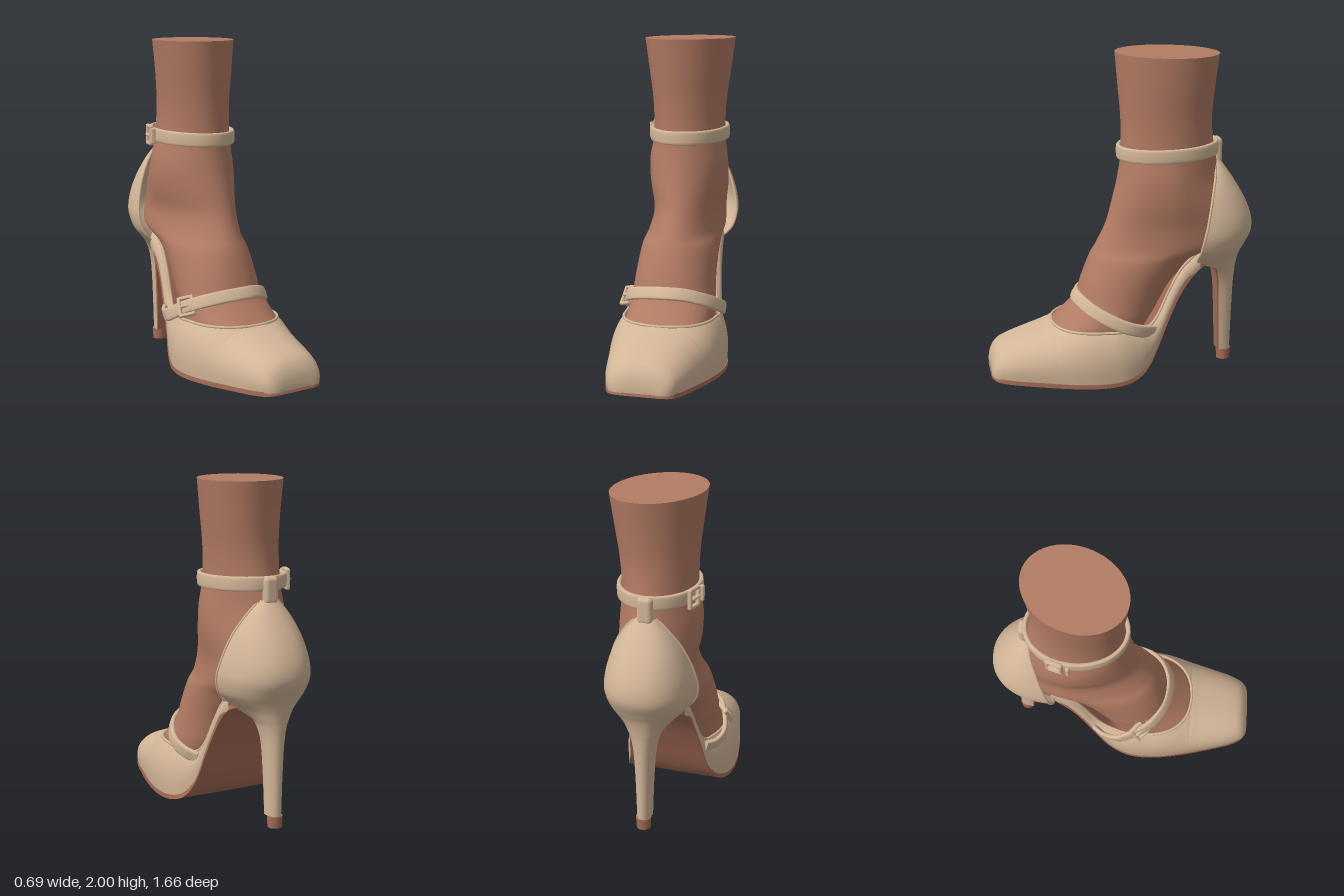
import * as THREE from 'three';
import { mergeGeometries, mergeVertices, toCreasedNormals } from 'three/addons/utils/BufferGeometryUtils.js';
import { RoundedBoxGeometry } from 'three/addons/geometries/RoundedBoxGeometry.js';

const V = (x, y, z) => new THREE.Vector3(x, y, z);
const mat = (name, color, side = THREE.DoubleSide) => {
  const m = new THREE.MeshStandardMaterial({ color, side });
  m.name = name;
  return m;
};

// Smoothly resample a table of numeric rows
function smoothRows(rows, steps) {
  const out = [], last = rows.length - 1;
  for (let i = 0; i < last; i++) {
    const [a, b, c, d] = [rows[Math.max(i - 1, 0)], rows[i], rows[i + 1], rows[Math.min(i + 2, last)]];
    for (let s = 0; s < steps; s++) {
      const t = s / steps;
      out.push(b.map((p, k) => p + 0.5 * t * (c[k] - a[k] + t * (2 * a[k] - 5 * p + 4 * c[k] - d[k]
        + t * (3 * (p - c[k]) + d[k] - a[k])))));
    }
  }
  out.push(rows[last]);
  return out;
}

// Skin a list of cross-sections; rings may be closed, ends may be capped
function loft(rings, { closed = false, caps = false, flip = false, wrap = false } = {}) {
  const n = rings[0].length, pos = [], idx = [];
  const tri = (a, b, c) => (flip ? idx.push(a, c, b) : idx.push(a, b, c));
  rings.forEach(r => r.forEach(p => pos.push(p.x, p.y, p.z)));
  const R = rings.length;
  for (let r = 0; r < (wrap ? R : R - 1); r++) {
    for (let c = 0; c < (closed ? n : n - 1); c++) {
      const a = r * n + c, b = r * n + (c + 1) % n, q = ((r + 1) % R) * n;
      tri(a, b, q + c);
      tri(b, q + (c + 1) % n, q + c);
    }
  }
  if (caps) [rings[0], rings[R - 1]].forEach((ring, end) => {
    const base = pos.length / 3;
    const mid = ring.reduce((s, p) => s.add(p), V(0, 0, 0)).divideScalar(n);
    [...ring, mid].forEach(p => pos.push(p.x, p.y, p.z));
    for (let c = 0; c < n; c++) {
      const a = base + c, b = base + (c + 1) % n;
      end ? tri(base + n, a, b) : tri(base + n, b, a);
    }
  });
  const g = new THREE.BufferGeometry();
  g.setAttribute('position', new THREE.Float32BufferAttribute(pos, 3));
  g.setIndex(idx);
  g.computeVertexNormals();
  return g;
}

const sgnPow = (v, e) => Math.sign(v) * Math.abs(v) ** e;

// Flat strap with rounded edges swept along a curve
function strap(points, closed, height, thick, up) {
  const curve = new THREE.CatmullRomCurve3(points, closed), N = 72, rings = [];
  for (let i = 0; i < (closed ? N : N + 1); i++) {
    const p = curve.getPoint(i / N), t = curve.getTangent(i / N);
    const out = t.clone().cross(up).normalize(), u = out.clone().cross(t).normalize();
    rings.push(Array.from({ length: 16 }, (_, k) => {
      const a = k / 16 * Math.PI * 2;
      return p.clone().addScaledVector(out, sgnPow(Math.cos(a), 0.55) * thick / 2)
        .addScaledVector(u, sgnPow(Math.sin(a), 0.55) * height / 2);
    }));
  }
  return loft(rings, { closed: true, wrap: closed, caps: !closed });
}

// Rectangular buckle facing +z
function buckle(name, material) {
  const g = new THREE.Group();
  g.name = name;
  const bar = (w, h, x, y, z = 0) => {
    const m = new THREE.Mesh(new RoundedBoxGeometry(w, h, 0.028, 2, 0.009), material);
    m.name = 'buckleBar';
    m.position.set(x, y, z);
    g.add(m);
  };
  for (const s of [-1, 1]) {
    bar(0.022, 0.125, s * 0.042, 0);
    bar(0.1, 0.022, 0, s * 0.053);
  }
  bar(0.08, 0.018, 0.005, 0, 0.008);
  bar(0.024, 0.1, 0.085, 0);
  return g;
}

export function createModel() {
  const group = new THREE.Group();
  const leather = mat('beige leather', 0xd3b698);
  const skin = mat('skin', 0xb27b63, THREE.FrontSide);
  const soleMat = mat('brown sole', 0xa56c56);
  const add = (name, geo, m) => {
    const mesh = new THREE.Mesh(geo, m);
    mesh.name = name;
    group.add(mesh);
    return mesh;
  };

  // Leg and foot: y, front z, back z, right x, left x, roundness, heel taper, skew
  const legRows = [
    [2, .03, -.58, -.245, .275, 2, 0, -.048], [1.8, .015, -.56, -.222, .253, 2, 0, -.035],
    [1.6, 0, -.55, -.205, .23, 2, 0, -.02], [1.4, 0, -.575, -.21, .23, 2, .1, -.008],
    [1.25, .02, -.62, -.24, .25, 2, .25, 0], [1.1, .055, -.7, -.235, .25, 2, .28, 0],
    [.95, .1, -.76, -.205, .23, 2, .2, 0], [.82, .16, -.73, -.225, .23, 2, .1, 0],
    [.74, .2, -.5, -.24, .235, 2.1, .1, 0], [.6, .25, -.33, -.25, .24, 2.2, .1, 0],
    [.48, .29, -.25, -.258, .25, 2.2, .1, 0], [.4, .36, -.2, -.258, .262, 2.3, .05, 0],
    [.315, .445, -.14, -.262, .265, 2.5, 0, 0], [.22, .52, -.1, -.25, .25, 2.5, 0, 0],
    [.12, .55, -.03, -.24, .24, 2.5, 0, 0]];
  const legRings = smoothRows(legRows, 5).map(([y, zf, zb, xl, xr, n, taper, skew]) =>
    Array.from({ length: 48 }, (_, k) => {
      const a = k / 48 * Math.PI * 2, s = sgnPow(Math.sin(a), 2 / n), c = sgnPow(Math.cos(a), 2 / n);
      return V((xl + xr) / 2 + (xr - xl) / 2 * c * (1 + taper * Math.min(0, s)) + skew * s, y,
        (zf + zb) / 2 + (zf - zb) / 2 * s);
    }));
  add('legAndFoot', loft(legRings, { closed: true, caps: true }), skin);

  // Toe box and side bands: z, half width, top edge y, bottom y
  const vampRows = [
    [.829, .1, .052, .05], [.829, .135, .09, .05], [.821, .168, .142, .05], [.8, .198, .188, .049],
    [.765, .22, .224, .048], [.7, .247, .252, .046], [.6, .275, .285, .043],
    [.5, .3, .316, .039], [.44, .315, .337, .036], [.4, .325, .337, .034], [.32, .343, .337, .031],
    [.2, .358, .337, .028], [.05, .352, .337, .033], [-.06, .318, .337, .066], [-.14, .28, .35, .145],
    [-.2, .252, .42, .25], [-.27, .23, .56, .42], [-.35, .212, .69, .565], [-.46, .2, .79, .685]];
  const n = 2.5, rim = [], half = [];
  for (const [z, w, top, base] of smoothRows(vampRows, 6)) {
    const open = z >= .4399 ? 0 : z > .1 ? .282 * (1 - ((z - .1) / .34) ** 2.6) ** .45 : w * .81;
    const end = Math.acos((open / w) ** (n / 2));
    const h = (top - base) / Math.sin(end) ** (2 / n);
    const row = Array.from({ length: 19 }, (_, k) => {
      const a = end * k / 18, tuck = 1 - .05 * (1 - Math.sin(a)) ** 4;
      return V(k === 18 ? open : w * tuck * Math.cos(a) ** (2 / n), base + h * Math.sin(a) ** (2 / n), z);
    });
    half.push(row);
    if (z < .4401) rim.push(row[18]);
  }
  const mirror = p => V(-p.x, p.y, p.z);
  const vamp = mergeGeometries([loft(half, { flip: true }), loft(half.map(r => r.map(mirror)))]);
  vamp.deleteAttribute('normal');
  const vampGeo = mergeVertices(vamp, 1e-4);
  vampGeo.computeVertexNormals();
  add('toeBoxAndSides', vampGeo, leather);
  const rimPath = [...rim.slice(1).reverse().map(mirror), ...rim];
  add('openingRim', new THREE.TubeGeometry(new THREE.CatmullRomCurve3(rimPath), 160, .009, 8), leather);

  // Heel counter flowing into the heel stem: y, front z, back z, half width
  const heelRows = [
    [1.33, -.575, -.615, .055], [1.25, -.56, -.672, .13], [1.15, -.53, -.737, .195], [1.05, -.505, -.79, .237],
    [.96, -.483, -.819, .262], [.88, -.462, -.818, .272], [.8, -.446, -.78, .256], [.75, -.437, -.756, .222],
    [.7, -.465, -.742, .168], [.65, -.575, -.733, .113], [.6, -.6, -.727, .086], [.5, -.614, -.721, .065],
    [.3, -.621, -.715, .053], [.07, -.628, -.71, .046]];
  const heelRings = smoothRows(heelRows, 5).map(([y, zf, zb, w]) => Array.from({ length: 29 }, (_, k) => {
    const a = -Math.PI * k / 28;
    return V(w * sgnPow(Math.cos(a), .9), y, zf + (zf - zb) * sgnPow(Math.sin(a), .95));
  }));
  add('heelCounterAndStem', loft(heelRings, { flip: true }), leather);
  for (const end of [0, 28]) {
    const edge = heelRings.slice(0, 38).map(r => r[end]);
    add('counterEdge', new THREE.TubeGeometry(new THREE.CatmullRomCurve3(edge), 50, .008, 8), leather);
  }

  // Sole running under the toe, up the arch and down the heel breast: z, y, half width
  const soleRows = [
    [.833, .036, .1], [.824, .034, .15], [.8, .03, .188], [.765, .027, .212], [.7, .023, .238], [.6, .018, .266],
    [.4, .008, .315], [.2, .002, .345], [.05, .008, .34], [-.05, .033, .31], [-.12, .088, .28], [-.18, .19, .252],
    [-.25, .355, .23], [-.33, .52, .21], [-.42, .645, .196], [-.5, .693, .165], [-.553, .677, .118],
    [-.591, .61, .084], [-.606, .5, .061], [-.613, .3, .049], [-.621, .07, .043]];
  const path = smoothRows(soleRows, 4);
  const soleRings = path.map(([z, y, w], i) => {
    const p = path[Math.max(i - 1, 0)], q = path[Math.min(i + 1, path.length - 1)];
    const d = Math.hypot(q[0] - p[0], q[1] - p[1]), t = .027;
    const nz = (q[1] - p[1]) / d * t, ny = -(q[0] - p[0]) / d * t;
    return [V(w, y, z), V(-w, y, z), V(-w, y + ny, z + nz), V(w, y + ny, z + nz)];
  });
  add('sole', toCreasedNormals(loft(soleRings, { closed: true, caps: true }), .6), soleMat);

  // Heel tip
  const tip = add('heelTip', new THREE.CylinderGeometry(.046, .042, .07, 24), soleMat);
  tip.position.set(0, .035, -.67);

  // Ankle strap, back loop and buckle
  const ring = Array.from({ length: 24 }, (_, k) => {
    const a = -k / 24 * Math.PI * 2;
    return V(.01 + .231 * Math.cos(a), 1.413 - .01 * Math.sin(a), -.285 + .302 * Math.sin(a));
  });
  add('ankleStrap', strap(ring, true, .085, .028, V(0, 1, 0)), leather);
  const loop = add('strapLoop', new RoundedBoxGeometry(.09, .16, .056, 4, .026), leather);
  loop.position.set(0, 1.385, -.599);
  const ankleBuckle = buckle('ankleBuckle', leather);
  ankleBuckle.position.set(-.226, 1.41, -.4);
  ankleBuckle.rotation.y = -Math.PI / 2 - .3;
  group.add(ankleBuckle);

  // Instep strap and buckle
  const instep = [V(-.245, .33, -.19), V(-.295, .325, -.12), V(-.322, .35, -.03), V(-.295, .41, .08), V(-.243, .455, .18),
    V(-.14, .488, .257), V(0, .502, .292), V(.11, .496, .275), V(.21, .462, .215), V(.272, .418, .125),
    V(.298, .37, .02), V(.28, .335, -.08), V(.235, .31, -.16)];
  add('instepStrap', strap(instep, false, .08, .03, V(0, .85, -.5)), leather);
  const instepBuckle = buckle('instepBuckle', leather);
  instepBuckle.position.set(-.287, .424, .107);
  instepBuckle.rotation.set(-.5, -.9, .3, 'YXZ');
  group.add(instepBuckle);

  return group;
}
